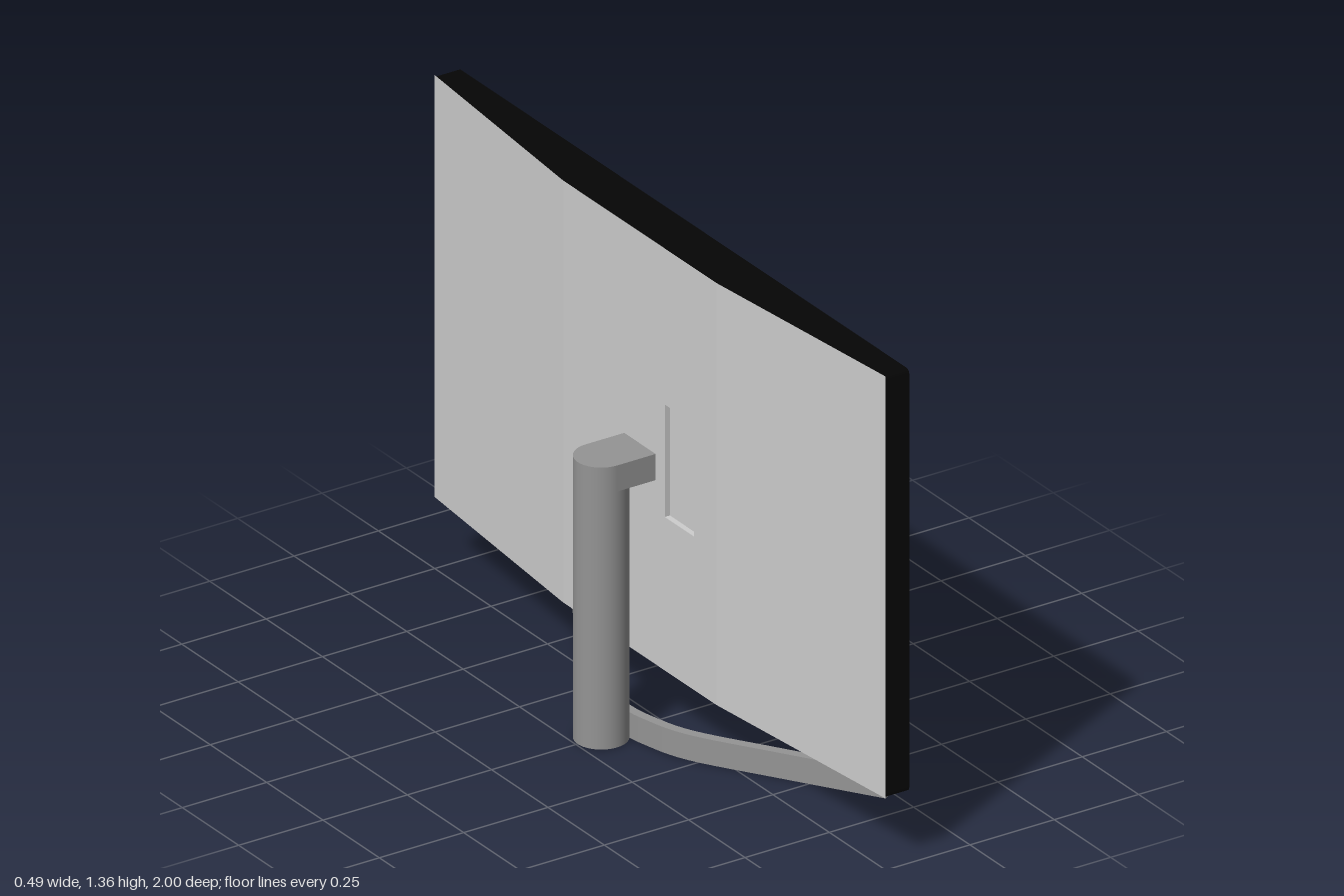
import * as THREE from 'three';

const BOTTOM = 0.197, TOP = 1.36, HALF = 1, FLAT = 0.34, BACK = -0.06, FRONT = 0.07;

function material(name, color) {
  const m = new THREE.MeshStandardMaterial({ color });
  m.name = name;
  return m;
}

// Rectangle with rounded corners
function roundedRect(x0, y0, x1, y1, r) {
  const s = new THREE.Shape();
  s.absarc(x1 - r, y1 - r, r, 0, Math.PI / 2);
  s.absarc(x0 + r, y1 - r, r, Math.PI / 2, Math.PI);
  s.absarc(x0 + r, y0 + r, r, Math.PI, Math.PI * 1.5);
  s.absarc(x1 - r, y0 + r, r, Math.PI * 1.5, Math.PI * 2);
  return s;
}

// Flat four-cornered face, corners counter-clockwise
function quad(...corners) {
  const g = new THREE.BufferGeometry();
  g.setAttribute('position', new THREE.Float32BufferAttribute(corners.flat(), 3));
  g.setIndex([0, 1, 2, 0, 2, 3]);
  g.computeVertexNormals();
  return g;
}

export function createModel() {
  const model = new THREE.Group();
  model.name = 'monitor';
  const grey = material('stand grey', 0x949494);
  const silver = material('back silver', 0xcecece);
  const black = material('frame black', 0x050505);
  const glass = material('screen black', 0x060606);

  const add = (name, geometry, mat, parent = model) => {
    const mesh = new THREE.Mesh(geometry, mat);
    mesh.name = name;
    parent.add(mesh);
    return mesh;
  };

  // Display: front frame and thin screen plate
  const display = new THREE.Group();
  display.name = 'display';
  model.add(display);
  const slab = (inset, depth, x) => new THREE.ExtrudeGeometry(
    roundedRect(-HALF + inset, BOTTOM + inset, HALF - inset, TOP - inset, 0.012),
    { depth, bevelEnabled: false, curveSegments: 4 }
  ).rotateY(Math.PI / 2).translate(x, 0, 0);
  add('frame', slab(0, FRONT, 0), black, display);
  add('screen', slab(0.02, 0.002, FRONT - 0.001), glass, display);

  // Housing: black top and bottom edges, silver tapering back
  const outline = y => [[0, y, -HALF], [BACK, y, -FLAT], [BACK, y, FLAT], [0, y, HALF]];
  const low = outline(BOTTOM), high = outline(TOP);
  add('housingTop', quad(...high), black, display);
  add('housingBottom', quad(...[...low].reverse()), black, display);
  for (const i of [0, 2]) {
    add('backSlope', quad(low[i], low[i + 1], high[i + 1], high[i]), silver, display);
  }

  // Flat middle of the back with a shallow slot
  const slot = { z0: 0.11, z1: 0.24, y0: 0.62, y1: 0.93, depth: 0.015 };
  const rectangle = (Type, x0, y0, x1, y1) => new Type([
    new THREE.Vector2(x0, y0), new THREE.Vector2(x1, y0),
    new THREE.Vector2(x1, y1), new THREE.Vector2(x0, y1)
  ]);
  const middle = rectangle(THREE.Shape, -FLAT, BOTTOM, FLAT, TOP);
  middle.holes.push(rectangle(THREE.Path, slot.z0, slot.y0, slot.z1, slot.y1));
  add('backPanel', new THREE.ShapeGeometry(middle).rotateY(-Math.PI / 2).translate(BACK, 0, 0), silver, display);

  // Inward-facing box lines the slot
  const pocket = new THREE.BoxGeometry(slot.depth, slot.y1 - slot.y0, slot.z1 - slot.z0);
  const order = pocket.index.array;
  for (let i = 0; i < order.length; i += 3) [order[i], order[i + 1]] = [order[i + 1], order[i]];
  pocket.computeVertexNormals();
  pocket.translate(BACK + slot.depth / 2, (slot.y0 + slot.y1) / 2, (slot.z0 + slot.z1) / 2);
  add('backSlot', pocket, silver, display);

  // Stand column and the arm holding the display
  const column = add('column', new THREE.CylinderGeometry(0.07, 0.07, 0.777, 40), grey);
  column.position.set(-0.175, 0.3885, 0);
  const arm = add('arm', new THREE.BoxGeometry(0.117, 0.072, 0.14), grey);
  arm.position.set(-0.1165, 0.741, 0);

  // Curved foot: a band of even thickness swept along a plan curve
  const path = new THREE.SplineCurve([
    [0.19, -0.655], [0.07, -0.45], [-0.056, -0.22], [-0.098, -0.09], [-0.108, 0],
    [-0.098, 0.09], [-0.056, 0.22], [0.07, 0.42], [0.23, 0.665]
  ].map(p => new THREE.Vector2(...p)));
  const inner = [], outer = [];
  for (let i = 0; i <= 48; i++) {
    const p = path.getPoint(i / 48), t = path.getTangent(i / 48);
    const side = new THREE.Vector2(-t.y, t.x).multiplyScalar(0.013);
    inner.push(p.clone().add(side));
    outer.push(p.clone().sub(side));
  }
  const foot = new THREE.ExtrudeGeometry(
    new THREE.Shape([...inner, ...outer.reverse()]), { depth: 0.07, bevelEnabled: false }
  ).rotateX(Math.PI / 2).translate(0, 0.07, 0);
  add('foot', foot, grey);

  return model;
}
